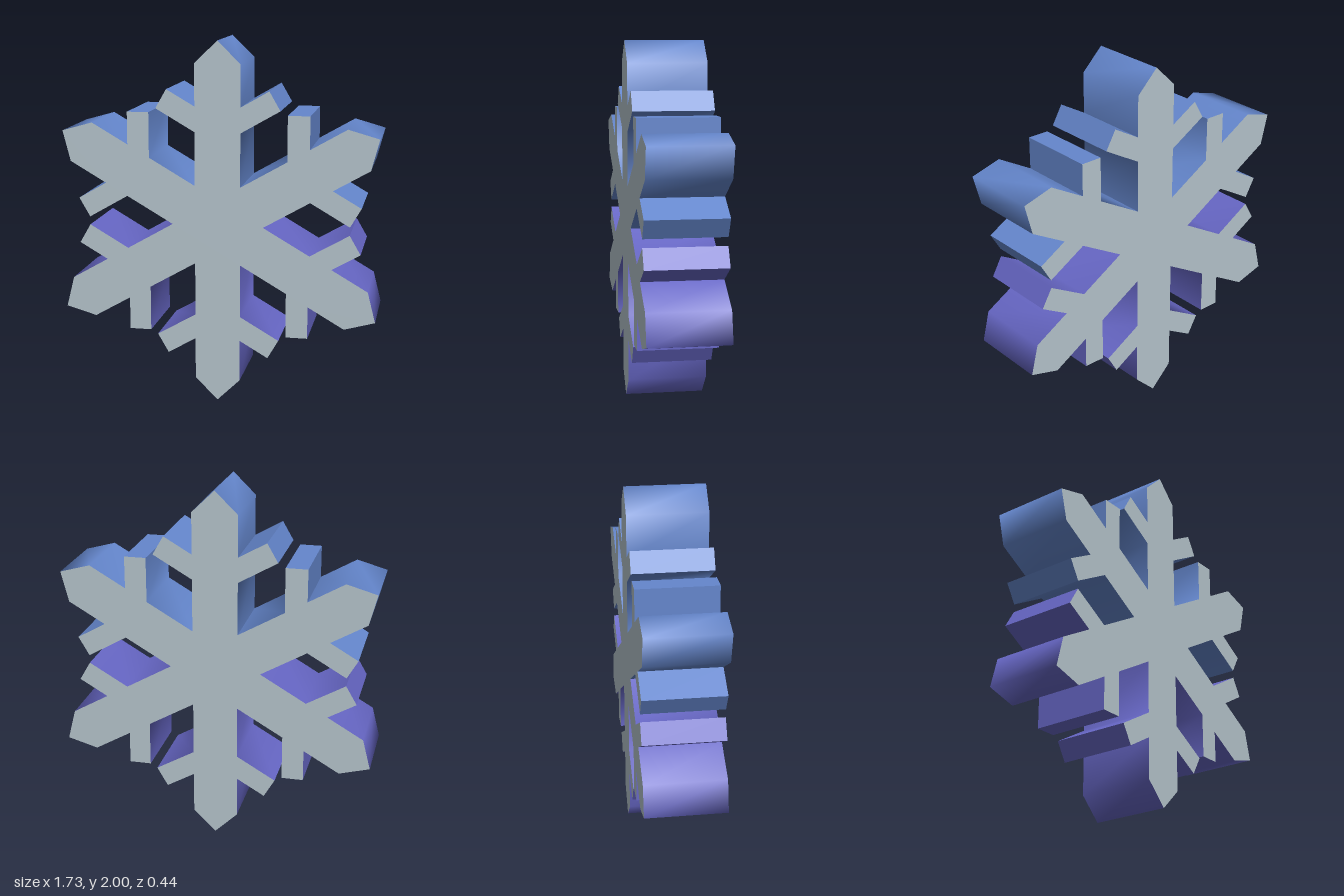
import * as THREE from 'three';
import { toCreasedNormals } from 'three/addons/utils/BufferGeometryUtils.js';

const DEPTH = 0.44;

// One arm pointing up, from the valley on its right to the one on its left
const half = [
  [0.125, 0.2165],                                     // valley
  [0.125, 0.51], [0.34, 0.634], [0.28, 0.738], [0.125, 0.6485], // side branch
  [0.125, 0.878],                                      // shoulder
];
const arm = [
  ...half,
  [0, 1],                                              // tip
  ...half.slice(1).reverse().map(([x, y]) => [-x, y]),
];

function outline() {
  const points = [];
  for (let i = 0; i < 6; i++) {
    for (const [x, y] of arm) {
      points.push(new THREE.Vector2(x, y).rotateAround(new THREE.Vector2(), (i * Math.PI) / 3));
    }
  }
  return new THREE.Shape(points);
}

export function createModel() {
  const faceGrey = new THREE.MeshStandardMaterial({ color: 0xb4c3cb });
  faceGrey.name = 'faceGrey';
  const upperBlue = new THREE.MeshStandardMaterial({ color: 0x6486cc });
  upperBlue.name = 'upperBlue';
  const lowerViolet = new THREE.MeshStandardMaterial({ color: 0x6666c4 });
  lowerViolet.name = 'lowerViolet';

  let geometry = new THREE.ExtrudeGeometry(outline(), { depth: DEPTH, bevelEnabled: false });
  geometry.translate(0, 0, -DEPTH / 2);
  // Shoulders and tips are softened, square corners and valleys stay sharp
  geometry = toCreasedNormals(geometry, 1.555);

  // Flat faces grey, walls blue in the upper half and violet in the lower half
  const [caps, walls] = geometry.groups.map((g) => ({ ...g }));
  geometry.clearGroups();
  geometry.addGroup(caps.start, caps.count, 0);
  const pos = geometry.attributes.position;
  for (let v = walls.start; v < walls.start + walls.count; v += 6) {
    let y = 0;
    for (let k = 0; k < 6; k++) y += pos.getY(v + k);
    geometry.addGroup(v, 6, y > 0 ? 1 : 2);
  }

  const snowflake = new THREE.Mesh(geometry, [faceGrey, upperBlue, lowerViolet]);
  snowflake.name = 'snowflake';
  snowflake.position.y = 1;

  const model = new THREE.Group();
  model.name = 'snowflakeModel';
  model.add(snowflake);
  return model;
}
